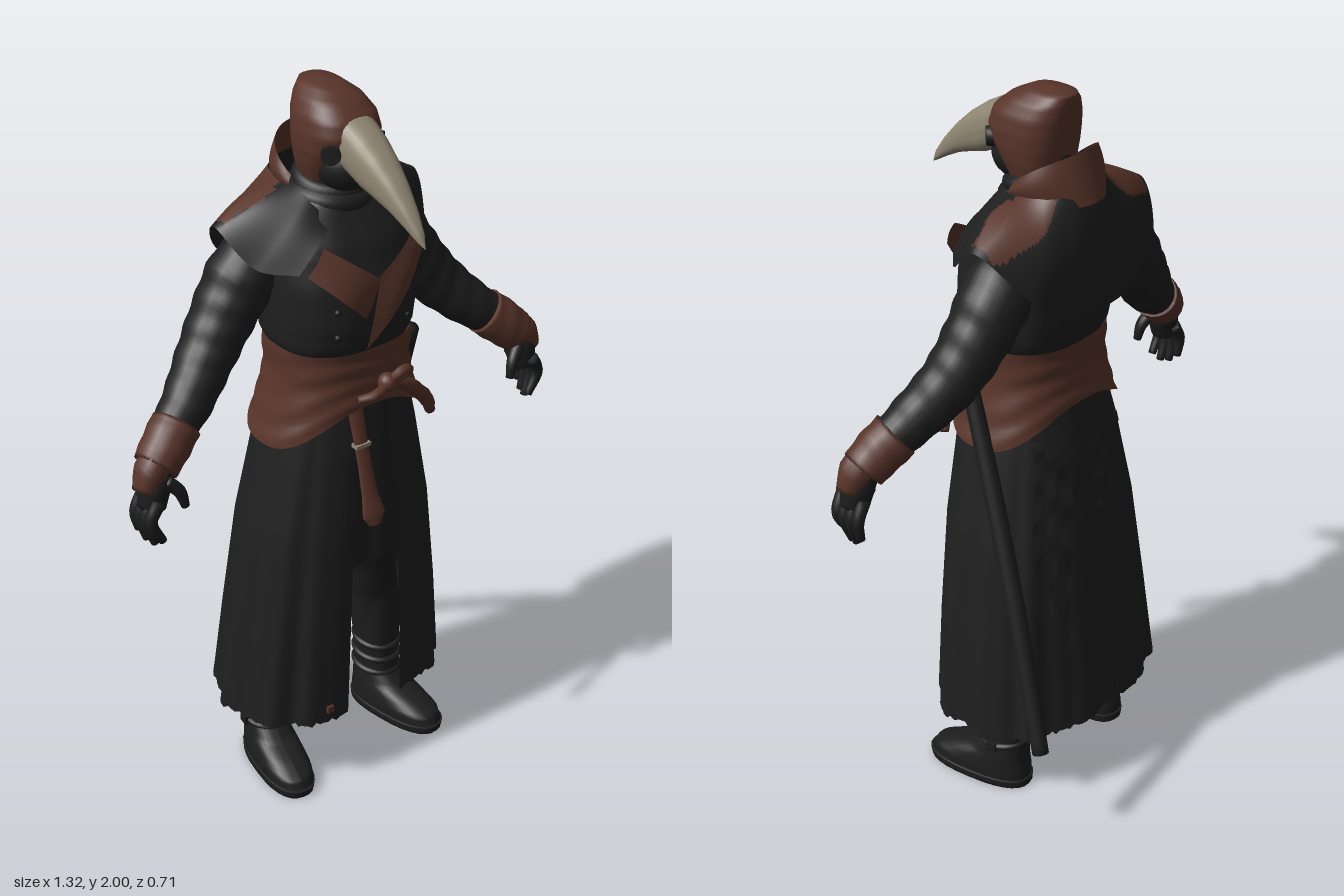
import * as THREE from 'three';

const mat = (name, color) => Object.assign(new THREE.MeshStandardMaterial({ color, side: THREE.DoubleSide }), { name });
const cloth = mat('black cloth', 0x1f1f1f);
const glove = mat('black leather', 0x1d1d1e);
const leather = mat('brown leather', 0x58342a);
const bone = mat('bone', 0x8f8672);

// Smooth surface over a grid; fn(u, v) returns [x, y, z]. pick(x, y, z) sends a face to the second material.
function grid(nu, nv, fn, pick) {
  const pos = [], sets = [[], []];
  for (let j = 0; j <= nv; j++) for (let i = 0; i <= nu; i++) pos.push(...fn(i / nu, j / nv));
  for (let j = 0; j < nv; j++) for (let i = 0; i < nu; i++) {
    const a = j * (nu + 1) + i, b = a + 1, c = a + nu + 1, d = c + 1;
    const mid = k => (pos[a * 3 + k] + pos[d * 3 + k]) / 2;
    sets[pick && pick(mid(0), mid(1), mid(2)) ? 1 : 0].push(a, c, b, b, c, d);
  }
  const g = new THREE.BufferGeometry();
  g.setAttribute('position', new THREE.Float32BufferAttribute(pos, 3));
  g.setIndex(sets.flat());
  g.addGroup(0, sets[0].length, 0);
  g.addGroup(sets[0].length, sets[1].length, 1);
  g.computeVertexNormals();
  return g;
}

// Value row at fraction t of a table
function row(table, t) {
  const f = Math.min(Math.max(t, 0), 1) * (table.length - 1), i = Math.min(Math.floor(f), table.length - 2);
  return table[i].map((v, k) => THREE.MathUtils.lerp(v, table[i + 1][k], f - i));
}

// Point on a rounded-square body; rings are [y, halfWidth, zFront, zBack], angle 0 is the front
const pw = v => Math.sign(v) * Math.abs(v) ** 0.8;
function bodyPoint(rings, a, t, swell = 1) {
  const [y, rx, zf, zb] = row(rings, t);
  return [rx * pw(Math.sin(a)) * swell, y, (zf + zb) / 2 + (zf - zb) / 2 * pw(Math.cos(a)) * swell];
}
const body = (rings, nu = 40, fold = () => 1) =>
  grid(nu, (rings.length - 1) * 4, (u, v) => bodyPoint(rings, u * Math.PI * 2, v, fold(u, v)));

// Tapered tube with closed ends and optional creases
const curve = pts => new THREE.CatmullRomCurve3(pts.map(p => new THREE.Vector3(...p)));
function limb(points, radii, crease = 0, nu = 16, nv = 28) {
  const path = curve(points), fr = path.computeFrenetFrames(nv, false);
  return grid(nu, nv + 2, (u, v) => {
    const k = Math.round(v * (nv + 2)), j = Math.min(Math.max(k - 1, 0), nv), a = u * Math.PI * 2;
    const cap = k === 0 || k === nv + 2 ? 0 : 1;
    const r = cap * row(radii.map(q => [q]), j / nv)[0] * (1 + crease * Math.sin(j * 1.1 + Math.sin(a) * 2.5));
    const p = path.getPointAt(j / nv).addScaledVector(fr.normals[j], r * Math.cos(a)).addScaledVector(fr.binormals[j], r * Math.sin(a));
    return [p.x, p.y, p.z];
  });
}

const torsoRings = [[0.95, 0.15, 0.11, -0.12], [1.3, 0.17, 0.14, -0.13], [1.36, 0.195, 0.168, -0.16], [1.42, 0.2, 0.176, -0.172],
  [1.52, 0.2, 0.17, -0.185], [1.62, 0.19, 0.135, -0.185], [1.69, 0.15, 0.09, -0.165], [1.75, 0.08, 0.05, -0.12]];
const skirtRings = [[1.22, 0.18, 0.15, -0.142], [1.05, 0.217, 0.17, -0.178], [0.8, 0.268, 0.182, -0.21],
  [0.5, 0.305, 0.186, -0.238], [0.23, 0.332, 0.186, -0.264]];
const sashRings = [[1.07, 0.237, 0.185, -0.19], [1.15, 0.212, 0.172, -0.172], [1.25, 0.188, 0.165, -0.155], [1.345, 0.19, 0.168, -0.158]];

export function createModel() {
  const model = new THREE.Group();
  const add = (name, geo, material, parent = model) => {
    const m = new THREE.Mesh(geo, material);
    m.name = name;
    parent.add(m);
    return m;
  };

  // Coat body and waist sash
  add('coatBody', body(torsoRings, 48, (u, v) => 1 + 0.01 * Math.sin(u * 88) * Math.sin(v * 3)), cloth);
  add('sash', grid(64, 18, (u, v) => {
    const a = u * Math.PI * 2;
    const low = 0.45 * Math.max(Math.cos(a), 0) ** 2 + 0.42 * Math.max(-Math.cos(a), 0) ** 2;
    return bodyPoint(sashRings, a, low + (1 - low) * v, 1 + 0.01 * Math.sin(v * 22 + Math.sin(a * 2) * 2));
  }), leather);

  // Pleated long skirt, open at the front
  const skirtPoint = (a, v, off = 0) => {
    const s = 1 + off + v * (0.03 * Math.sin(a * 11 + 0.8) + 0.015 * Math.sin(a * 19 + 1));
    const p = bodyPoint(skirtRings, a, v, s);
    if (v > 0.98) p[1] += 0.004 * Math.sin(a * 47) + 0.003 * Math.sin(a * 83);
    return p;
  };
  add('coatSkirt', grid(150, 24, (u, v) => skirtPoint(0.2 + u * (Math.PI * 2 - 0.4), v)), cloth);
  add('hemPatch', new THREE.BoxGeometry(0.02, 0.02, 0.008), leather).position.set(...skirtPoint(-0.38, 0.96, 0.015));
  add('innerPanel', grid(6, 8, (u, v) => [-0.08 + 0.14 * u, 1.2 - 0.51 * v, 0.135 + 0.02 * v + 0.006 * Math.sin(u * 9)]), glove);

  // Torn cloth strips at the back
  for (let i = 0; i < 8; i++) {
    const a0 = Math.PI - 0.7 + i * 0.19, top = 0.18 + 0.05 * (i % 3), end = 0.58 + 0.09 * ((i * 5) % 4);
    add('tornStrip', grid(4, 20, (u, v) => skirtPoint(
      a0 + (u - 0.5) * 0.16 * (1 - 0.8 * v) + 0.03 * Math.sin(v * 17 + i * 2), top + (end - top) * v,
      0.025 + 0.02 * Math.sin(v * 25 + i))), cloth);
  }

  // Shoulder cape with leather patches
  const hem = curve([[0, 1.44, -0.207], [0.13, 1.465, -0.208], [0.235, 1.555, -0.19], [0.31, 1.672, -0.08], [0.265, 1.585, 0.03], [0.19, 1.575, 0.105]]);
  const neckline = curve([[0, 1.77, -0.18], [0.06, 1.765, -0.17], [0.11, 1.76, -0.13], [0.12, 1.755, -0.04], [0.11, 1.73, 0.03], [0.07, 1.68, 0.08]]);
  add('shoulderCape', grid(160, 48, (u, v) => {
    const f = Math.abs(u * 2 - 1), s = Math.sign(u - 0.5);
    const p = neckline.getPoint(f).lerp(hem.getPoint(f), v), puff = Math.sin(v * Math.PI);
    return [s * p.x, p.y + 0.01 * puff, p.z + puff * (f > 0.6 ? 0.012 : -0.018)];
  }, (x, y, z) => Math.abs(x) < 0.292 && z < -0.045 + 0.01 * Math.sin(Math.abs(x) * 40) && z > -0.155 + 0.012 * Math.sin(Math.abs(x) * 30) && y > 1.65), [cloth, leather]);

  // Broad pointed lapels over the chest: inner, top, outer, tip
  const lapel = q => grid(16, 16, (u, v) => {
    const p = q[0].map((_, k) => (q[0][k] * (1 - u) + q[1][k] * u) * (1 - v) + (q[3][k] * (1 - u) + q[2][k] * u) * v);
    p[2] += (0.014 + 0.018 * v) * Math.sin(Math.PI * u) + 0.006 * Math.sin(Math.PI * v);
    return p;
  });
  add('leftLapel', lapel([[0.005, 1.545, 0.176], [0.165, 1.64, 0.122], [0.18, 1.585, 0.135], [-0.04, 1.355, 0.182]]), leather);
  add('rightLapel', lapel([[0.005, 1.54, 0.176], [-0.13, 1.64, 0.125], [-0.185, 1.58, 0.132], [-0.045, 1.445, 0.186]]), leather);
  for (const s of [-1, 1]) for (const y of [1.4, 1.47])
    add('button', new THREE.SphereGeometry(0.009, 10, 8), glove).position.set(s * 0.11, y, 0.155);

  // Standing collar and scarf
  add('standingCollar', grid(40, 8, (u, v) => {
    const f = u * 2 - 1, a = f * 1.9, top = 1.86 - 0.085 * f * f;
    return [Math.sin(a) * (0.118 + 0.014 * Math.sin(v * 3)), 1.735 + (top - 1.735) * v, -0.06 - Math.cos(a) * (0.138 - 0.04 * v)];
  }), leather);
  [[1.715, 0.082, 0.03], [1.68, 0.088, 0.026], [1.75, 0.075, 0.024]].forEach(([y, r, t], i) => {
    const scarf = add('scarf', new THREE.TorusGeometry(r, t, 12, 32), cloth);
    scarf.position.set(0, y, -0.02);
    scarf.rotation.set(Math.PI / 2 + 0.12 + 0.06 * i, 0.08 * (i - 1), 0);
  });
  add('neck', new THREE.CylinderGeometry(0.07, 0.08, 0.2, 20), cloth).position.set(0, 1.73, -0.03);

  // Head: hood, lower mask, beak, goggles
  add('hood', body([[1.765, 0.08, 0.045, -0.085], [1.81, 0.094, 0.07, -0.095], [1.85, 0.1, 0.098, -0.103], [1.89, 0.101, 0.113, -0.109],
    [1.93, 0.094, 0.1, -0.114], [1.965, 0.075, 0.06, -0.117], [1.99, 0.045, 0.01, -0.118], [2, 0.001, -0.06, -0.062]]), leather);
  const mask = add('lowerMask', new THREE.SphereGeometry(0.078, 24, 16), glove);
  mask.position.set(0, 1.805, 0.042);
  mask.scale.set(1, 0.9, 1);
  const beak = [[0.095, 1.938, 1.8, 0.06], [0.15, 1.908, 1.775, 0.055], [0.2, 1.872, 1.76, 0.046], [0.25, 1.827, 1.742, 0.035],
    [0.3, 1.772, 1.716, 0.023], [0.335, 1.725, 1.695, 0.012], [0.352, 1.69, 1.686, 0.001]];
  add('beak', grid(28, 24, (u, v) => {
    const [z, t, b, w] = row(beak, v), a = u * Math.PI * 2;
    return [w * pw(Math.cos(a)), (t + b) / 2 + (t - b) / 2 * pw(Math.sin(a)), z];
  }), bone);

  for (const s of [-1, 1]) {
    const P = pts => pts.map(([x, y, z]) => [s * x, y, z]);
    const side = new THREE.Group();
    side.name = s > 0 ? 'leftSide' : 'rightSide';
    model.add(side);

    const goggle = add('goggle', new THREE.CylinderGeometry(0.024, 0.028, 0.026, 20), glove, side);
    goggle.position.set(s * 0.073, 1.855, 0.08);
    goggle.rotation.set(Math.PI / 2, 0, -s * 0.8, 'YXZ');

    // Sleeve, cuff and glove
    add('sleeve', limb(P([[0.16, 1.6, -0.07], [0.22, 1.54, -0.075], [0.295, 1.44, -0.07], [0.37, 1.345, -0.05], [0.46, 1.258, -0.008], [0.56, 1.185, 0.03]]),
      [0.08, 0.092, 0.083, 0.074, 0.064, 0.05], 0.025, 20, 44), cloth, side);
    add('cuff', limb(P([[0.502, 1.225, 0.01], [0.55, 1.185, 0.03], [0.588, 1.15, 0.042]]), [0.065, 0.064, 0.059], 0.02, 20, 12), leather, side);
    add('cuffFlap', limb(P([[0.565, 1.19, 0.044], [0.605, 1.15, 0.05], [0.633, 1.1, 0.056]]), [0.04, 0.045, 0.03], 0, 12, 8), leather, side);
    add('palm', limb(P([[0.575, 1.15, 0.04], [0.598, 1.11, 0.05], [0.612, 1.05, 0.055]]), [0.036, 0.044, 0.036], 0, 16, 10), glove, side);
    for (let i = 0; i < 4; i++) {
      const z = 0.018 + i * 0.024, tip = [0.975, 0.955, 0.95, 0.965][i];
      add('finger', limb(P([[0.612, 1.08, z + 0.002], [0.637, 1.03, z], [0.63 - 0.008 * i, tip, z]]), [0.018, 0.016, 0.011], 0, 10, 10), glove, side);
    }
    add('thumb', limb(P([[0.58, 1.12, 0.07], [0.548, 1.085, 0.085], [0.535, 1.04, 0.09]]), [0.02, 0.017, 0.011], 0, 10, 10), glove, side);

    // Trouser leg
    add('trouserLeg', limb(P([[0.09, 1.0, -0.01], [0.13, 0.7, -0.02], [0.185, 0.42, -0.06], [0.2, 0.28, -0.068]]), [0.09, 0.09, 0.072, 0.06], 0.03), glove, side);

    // Boot with straps, toes turned out
    const boot = new THREE.Group();
    boot.name = 'boot';
    boot.position.set(s * 0.2, 0, -0.065);
    boot.rotation.y = s * 0.17;
    side.add(boot);
    add('bootUpper', body([[0.02, 0.068, 0.238, -0.075], [0.05, 0.068, 0.225, -0.075], [0.078, 0.064, 0.165, -0.07], [0.1, 0.06, 0.105, -0.068],
      [0.135, 0.055, 0.068, -0.066], [0.2, 0.056, 0.062, -0.066], [0.3, 0.064, 0.066, -0.07], [0.42, 0.07, 0.07, -0.074]], 28), glove, boot);
    add('bootSole', body([[0, 0.001, 0.08, 0.078], [0, 0.068, 0.238, -0.078], [0.025, 0.07, 0.243, -0.08], [0.026, 0.001, 0.08, 0.078]], 28), glove, boot);
    for (const y of [0.14, 0.185, 0.23]) {
      const strap = add('bootStrap', new THREE.TorusGeometry(0.058, 0.01, 8, 24), glove, boot);
      strap.position.set(0, y, 0);
      strap.scale.y = 1.12;
      strap.rotation.x = Math.PI / 2 + 0.12;
      add('buckle', new THREE.BoxGeometry(0.018, 0.026, 0.03), glove, boot).position.set(s * 0.064, y, 0.005);
    }
  }

  // Sash knot, loops, hanging tail and scabbard sling
  add('sashKnot', new THREE.SphereGeometry(0.026, 14, 10), leather).position.set(0.03, 1.24, 0.18);
  add('sashLoop', limb([[0.03, 1.24, 0.185], [0.06, 1.27, 0.2], [0.09, 1.262, 0.19], [0.04, 1.235, 0.185]], [0.011, 0.014, 0.014, 0.01], 0, 8), leather);
  add('sashLoop', limb([[0.03, 1.24, 0.185], [-0.02, 1.225, 0.195], [-0.06, 1.215, 0.175]], [0.012, 0.014, 0.01], 0, 8), leather);
  add('sling', limb([[0.03, 1.245, 0.18], [0.11, 1.2, 0.172], [0.18, 1.13, 0.155], [0.225, 1.065, 0.12]], [0.016, 0.02, 0.02, 0.014], 0.05, 10), leather);
  const tail = [[1.19, 0.15, 0.024], [1.12, 0.17, 0.022], [1.03, 0.195, 0.021], [0.95, 0.218, 0.026], [0.9, 0.235, 0.036], [0.875, 0.24, 0.02]];
  add('hangingTail', grid(16, 20, (u, v) => {
    const [y, z, w] = row(tail, v), a = u * Math.PI * 2;
    return [-0.053 + w * Math.cos(a), y, z + 0.009 * Math.sin(a)];
  }), leather);
  add('tailClasp', new THREE.BoxGeometry(0.046, 0.01, 0.024), bone).position.set(-0.053, 1.085, 0.18);

  // Scabbard on the left hip
  add('scabbard', limb([[0.215, 1.28, 0.045], [0.25, 1.03, -0.06], [0.3, 0.7, -0.195], [0.358, 0.32, -0.335]], [0.022, 0.025, 0.025, 0.022]), glove);
  return model;
}
